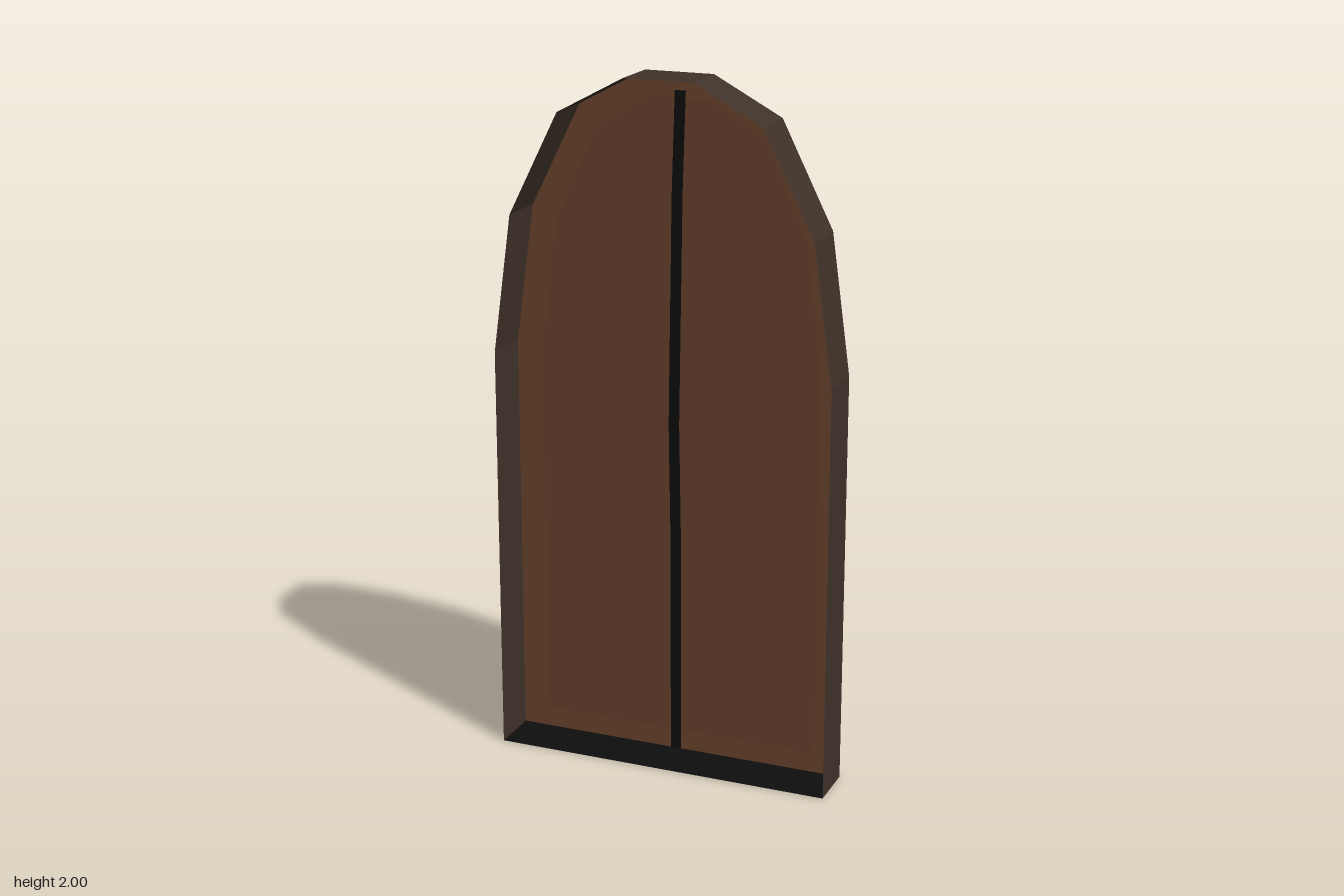
import * as THREE from 'three';

const material = (name, color, side = THREE.DoubleSide) => {
  const m = new THREE.MeshStandardMaterial({ color, side });
  m.name = name;
  return m;
};

const HALF_DEPTH = 0.075;

// Right half of the arch outline, from the foot to the crown
const HALF = [[0.5, 0], [0.5, 1.2], [0.445, 1.6], [0.297, 1.895], [0.1, 2]];
const OUTLINE = [...HALF, ...HALF.map(([x, y]) => [-x, y]).reverse()];

const toPoints = (list) => list.map(([x, y]) => new THREE.Vector2(x, y));

// Open strip of flat quads running front to back along a list of points
function wallGeometry(points) {
  const pos = [];
  for (let i = 0; i < points.length - 1; i++) {
    const [ax, ay] = points[i];
    const [bx, by] = points[i + 1];
    const a = [ax, ay, HALF_DEPTH], b = [ax, ay, -HALF_DEPTH];
    const c = [bx, by, -HALF_DEPTH], d = [bx, by, HALF_DEPTH];
    pos.push(...a, ...b, ...c, ...a, ...c, ...d);
  }
  const geo = new THREE.BufferGeometry();
  geo.setAttribute('position', new THREE.Float32BufferAttribute(pos, 3));
  geo.computeVertexNormals();
  return geo;
}

export function createModel() {
  const wood = material('brown wood', 0x6b432e);
  const edgeWood = material('light brown wood', 0x70472f);
  const frameWood = material('dark frame wood', 0x40322a);
  const black = material('black', 0x0f0e0e);

  const group = new THREE.Group();
  group.name = 'archedDoor';
  const add = (name, geo, mat, z = 0) => {
    const mesh = new THREE.Mesh(geo, mat);
    mesh.name = name;
    mesh.position.z = z;
    group.add(mesh);
  };

  // Frame: thin side and arch walls, open at the front, with a black sill
  add('frameWall', wallGeometry(OUTLINE), frameWood);
  add('sill', wallGeometry([[-0.5, 0], [0.5, 0]]), black);

  // Door panel at the back of the frame, with a lighter border
  const inner = OUTLINE.map(([x, y]) => [x * 0.84, 0.06 + y * 0.935]);
  const border = new THREE.Shape(toPoints(OUTLINE));
  border.holes.push(new THREE.Path(toPoints(inner)));
  add('panelBorder', new THREE.ShapeGeometry(border), edgeWood, -HALF_DEPTH);
  add('doorPanel', new THREE.ShapeGeometry(new THREE.Shape(toPoints(inner))), wood, -HALF_DEPTH);

  // Wobbly gap between the two leaves, showing on both faces of the panel
  const centre = [[-0.008, 0], [-0.009, 0.65], [-0.015, 1.0], [-0.006, 1.66], [0.003, 1.95]];
  const gap = [
    ...centre.map(([x, y]) => [x + 0.0155, y]),
    ...centre.map(([x, y]) => [x - 0.0155, y]).reverse(),
  ];
  const gapGeo = new THREE.ExtrudeGeometry(new THREE.Shape(toPoints(gap)), { depth: 0.006, bevelEnabled: false });
  add('doorGap', gapGeo, black, -HALF_DEPTH - 0.003);

  return group;
}
